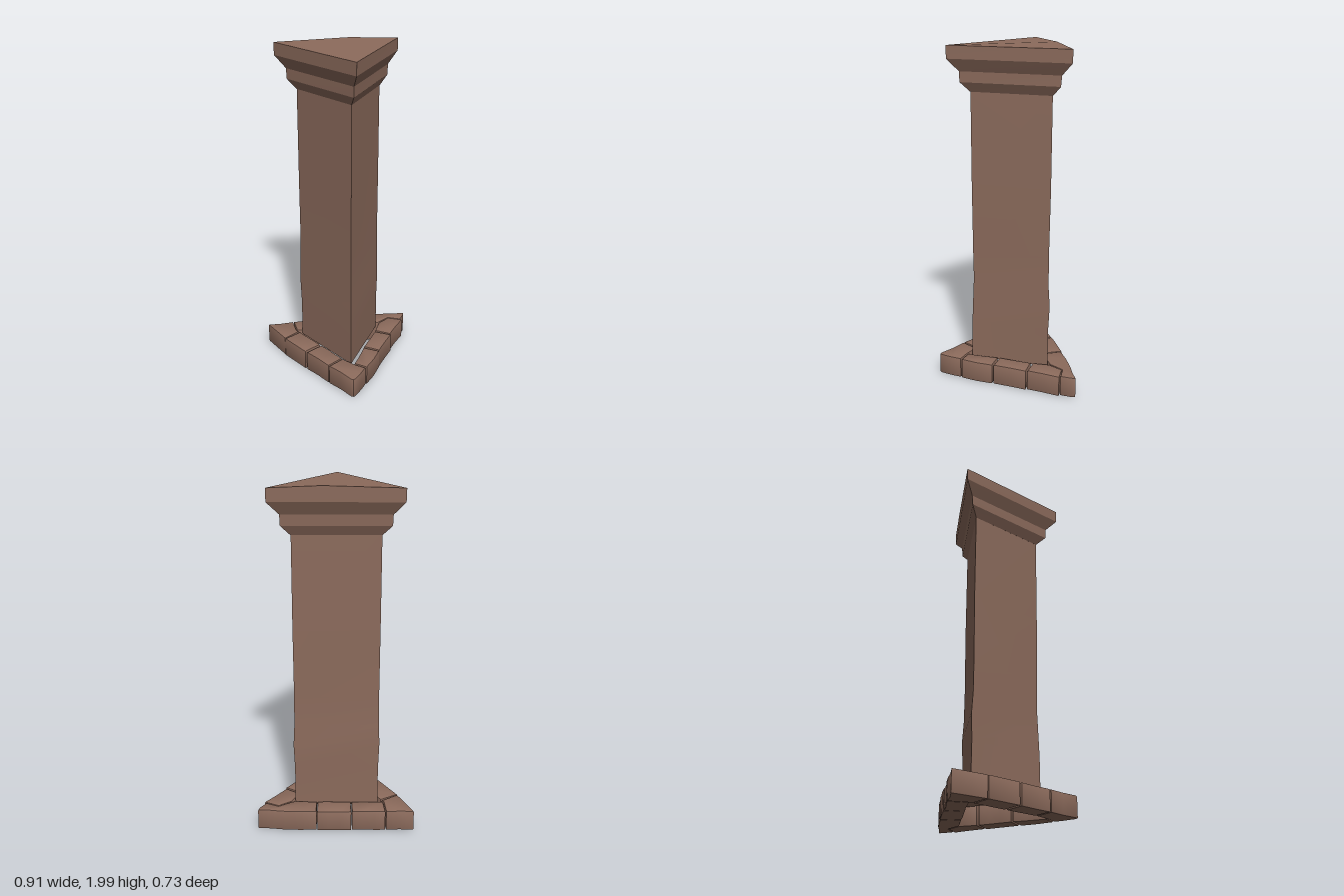
import * as THREE from 'three';
import { toCreasedNormals } from 'three/addons/utils/BufferGeometryUtils.js';

const stoneMaterial = new THREE.MeshStandardMaterial({ color: 0x8c6b5c });

// Small seeded noise in -1..1
function makeNoise(seed) {
  let s = seed;
  return () => {
    s = (s * 16807) % 2147483647;
    return (s / 2147483647) * 2 - 1;
  };
}

// Triangular loft: each level is [y, left x, right x, back z, front z]
function triangleLoft(levels, topRise = 0) {
  const rings = levels.map(([y, l, r, back, front]) => [
    new THREE.Vector3(l, y, back),
    new THREE.Vector3(-0.006, y, front),
    new THREE.Vector3(r, y, back),
  ]);
  const pos = [];
  const tri = (...pts) => pts.forEach((p) => pos.push(p.x, p.y, p.z));
  for (let i = 0; i < rings.length - 1; i++) {
    for (let k = 0; k < 3; k++) {
      const a = rings[i][k], b = rings[i][(k + 1) % 3];
      const c = rings[i + 1][(k + 1) % 3], d = rings[i + 1][k];
      tri(a, b, c);
      tri(a, c, d);
    }
  }
  // Bottom, then a slightly raised top with the rise centred on the back edge
  const [a, b, c] = rings[0];
  tri(c, b, a);
  const [l, f, r] = rings[rings.length - 1];
  const ridge = l.clone().lerp(r, 0.6);
  ridge.y += topRise;
  tri(l, f, ridge);
  tri(f, r, ridge);
  tri(l, ridge, r);
  const g = new THREE.BufferGeometry();
  g.setAttribute('position', new THREE.Float32BufferAttribute(pos, 3));
  return toCreasedNormals(g, 0.35);
}

// Worn paving stone from an outline of [x, z] corners
function stoneGeometry(outline, seed) {
  const noise = makeNoise(seed);
  const pts = [];
  outline.forEach(([x, z], i) => {
    const [nx, nz] = outline[(i + 1) % outline.length];
    const steps = Math.hypot(nx - x, nz - z) > 0.12 ? 3 : 1;
    for (let s = 0; s < steps; s++) {
      const t = s / steps, w = s ? 0.003 : 0;
      pts.push(new THREE.Vector2(x + (nx - x) * t + noise() * w, -(z + (nz - z) * t + noise() * w)));
    }
  });
  const bevel = 0.006;
  const g = new THREE.ExtrudeGeometry(new THREE.Shape(pts), {
    depth: 0.125 - 2 * bevel,
    bevelEnabled: true,
    bevelSize: bevel,
    bevelThickness: bevel,
    bevelOffset: -bevel,
    bevelSegments: 2,
  });
  g.rotateX(-Math.PI / 2);
  g.translate(0, 0.007 + bevel, 0);
  return toCreasedNormals(g, 0.7);
}

export function createModel() {
  const model = new THREE.Group();
  model.name = 'triangularColumn';
  const add = (parent, name, geometry) => {
    const mesh = new THREE.Mesh(geometry, stoneMaterial);
    mesh.name = name;
    parent.add(mesh);
  };

  // Shaft, slightly worn toward the foot
  add(model, 'shaft', triangleLoft([
    [0.11, -0.247, 0.238, -0.24, 0.168],
    [0.35, -0.247, 0.238, -0.239, 0.166],
    [0.5, -0.252, 0.244, -0.244, 0.16],
    [0.62, -0.25, 0.238, -0.237, 0.155],
    [0.8, -0.246, 0.236, -0.236, 0.158],
    [1.2, -0.247, 0.238, -0.24, 0.162],
    [1.74, -0.247, 0.238, -0.24, 0.164],
  ]));

  // Stepped capital
  add(model, 'capital', triangleLoft([
    [1.73, -0.247, 0.24, -0.24, 0.165],
    [1.785, -0.3, 0.292, -0.268, 0.225],
    [1.845, -0.302, 0.294, -0.272, 0.228],
    [1.915, -0.364, 0.36, -0.308, 0.298],
    [1.988, -0.365, 0.36, -0.31, 0.3],
  ], 0.012));

  // Ring of base stones around the hollow foot
  const base = new THREE.Group();
  base.name = 'baseStones';
  const outlines = [
    // back row, including the two back corners
    [[-0.455, -0.357], [-0.37, -0.355], [-0.295, -0.361], [-0.285, -0.25], [-0.272, -0.235], [-0.37, -0.168], [-0.41, -0.255]],
    [[-0.289, -0.361], [-0.096, -0.36], [-0.093, -0.25], [-0.28, -0.25]],
    [[-0.091, -0.363], [0.107, -0.367], [0.107, -0.25], [-0.088, -0.25]],
    [[0.112, -0.362], [0.21, -0.365], [0.31, -0.36], [0.38, -0.35], [0.452, -0.346], [0.445, -0.32], [0.41, -0.267], [0.335, -0.302], [0.255, -0.25], [0.112, -0.25]],
    // right side
    [[0.412, -0.26], [0.419, -0.255], [0.36, -0.18], [0.302, -0.098], [0.217, -0.155], [0.26, -0.245], [0.335, -0.298]],
    [[0.304, -0.086], [0.25, -0.01], [0.19, 0.08], [0.106, 0.022], [0.212, -0.142]],
    [[0.187, 0.09], [0.135, 0.175], [0.075, 0.25], [0.01, 0.198], [0.1, 0.034]],
    // front tip
    [[0.065, 0.256], [0.03, 0.305], [-0.018, 0.36], [-0.03, 0.365], [-0.042, 0.358], [-0.09, 0.275], [-0.146, 0.198], [-0.052, 0.135], [0.005, 0.205]],
    // left side
    [[-0.15, 0.191], [-0.2, 0.105], [-0.256, 0.022], [-0.155, -0.04], [-0.056, 0.127]],
    [[-0.265, 0.012], [-0.32, -0.08], [-0.369, -0.162], [-0.268, -0.225], [-0.163, -0.053]],
  ];
  outlines.forEach((outline, i) =>
    add(base, `baseStone${i + 1}`, stoneGeometry([...outline].reverse(), 101 + i * 977)));
  model.add(base);

  return model;
}
